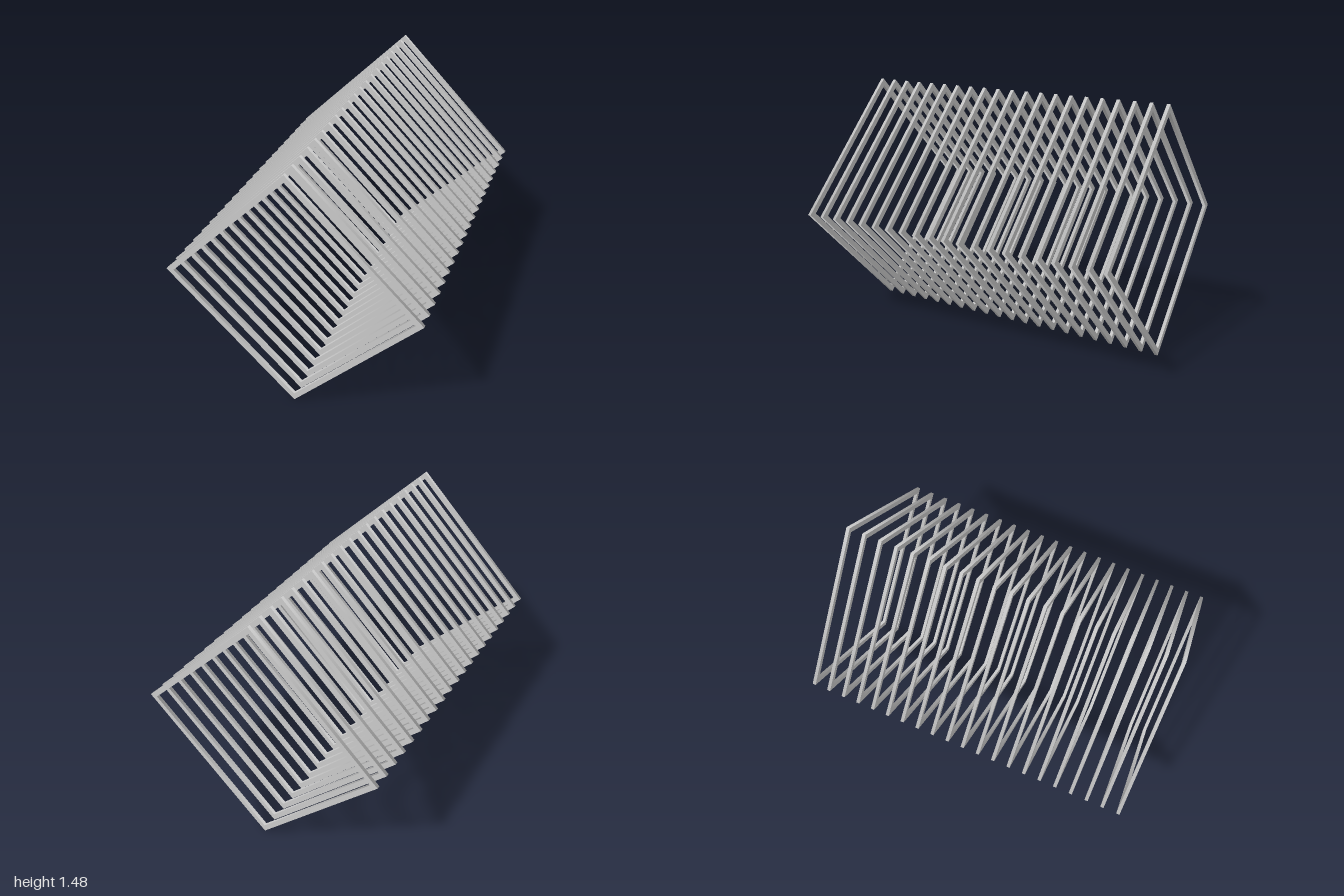
import * as THREE from 'three';

const FRAMES = 21, DEPTH = 0.02, OUTER = 0.742, INNER = 0.697;

// Four-cornered outline standing on one corner
function diamond(Type, r) {
  const path = new Type();
  path.moveTo(r, 0);
  path.lineTo(0, r);
  path.lineTo(-r, 0);
  path.lineTo(0, -r);
  path.closePath();
  return path;
}

// Flat diamond ring, smooth around its rim and sharp at its front and back edges
function frameGeometry() {
  const shape = diamond(THREE.Shape, OUTER);
  shape.holes.push(diamond(THREE.Path, INNER));
  const geo = new THREE.ExtrudeGeometry(shape, { depth: DEPTH, bevelEnabled: false });
  geo.translate(0, 0, -DEPTH / 2);

  const pos = geo.attributes.position, nor = geo.attributes.normal;
  for (let i = 0; i < pos.count; i++) {
    if (Math.abs(nor.getZ(i)) > 0.5) continue;
    const radial = new THREE.Vector3(pos.getX(i), pos.getY(i), 0).normalize();
    const facing = Math.sign(radial.x * nor.getX(i) + radial.y * nor.getY(i));
    radial.multiplyScalar(facing);
    nor.setXYZ(i, radial.x, radial.y, 0);
  }
  return geo;
}

export function createModel() {
  const group = new THREE.Group();
  group.name = 'diamondFrameTunnel';
  const material = new THREE.MeshStandardMaterial({ color: 0xcccccc });
  const geometry = frameGeometry();

  // Row of identical frames, evenly spaced from back to front
  const reach = 1 - DEPTH / 2;
  for (let i = 0; i < FRAMES; i++) {
    const frame = new THREE.Mesh(geometry, material);
    frame.name = `frame${i + 1}`;
    frame.position.set(0, OUTER, -reach + (2 * reach * i) / (FRAMES - 1));
    group.add(frame);
  }
  return group;
}
